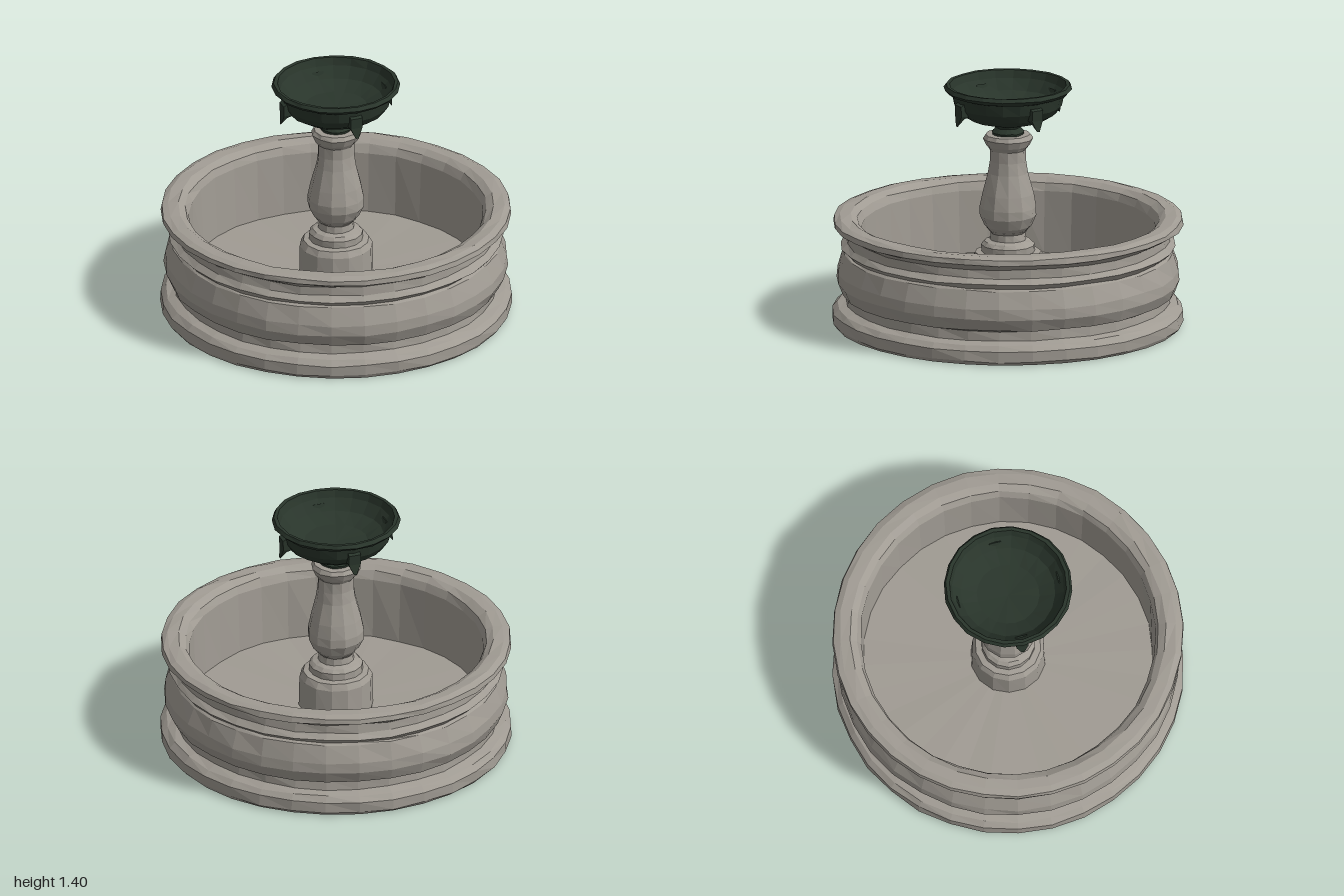
import * as THREE from 'three';

const stone = new THREE.MeshStandardMaterial({ color: 0xa09b93, flatShading: true });
stone.name = 'weathered stone';
const bronze = new THREE.MeshStandardMaterial({ color: 0x29352b, flatShading: true });
bronze.name = 'dark green bronze';

// Turned part from [radius, height] pairs, listed from the bottom up the outside.
// A little seeded wobble gives it a hand-hewn, low-poly surface.
function turned(name, profile, sides, material, wobble) {
  const n = profile.length;
  const geo = new THREE.LatheGeometry(profile.map(([r, y]) => new THREE.Vector2(r, y)), sides);
  const pos = geo.attributes.position;
  const noise = (a, b) => {
    const s = Math.sin(a * 127.1 + b * 311.7) * 43758.5453;
    return (s - Math.floor(s)) * 2 - 1;
  };
  for (let k = 0; k < pos.count; k++) {
    const j = k % n, i = Math.floor(k / n) % sides;
    const r = profile[j][0];
    if (r === 0) continue;
    const f = 1 - wobble * Math.abs(noise(i, j)) / r;
    const dy = profile[j][1] > 0.005 ? wobble * 0.5 * noise(i + 50, j) : 0;
    pos.setXYZ(k, pos.getX(k) * f, pos.getY(k) + dy, pos.getZ(k) * f);
  }
  geo.computeVertexNormals();
  const mesh = new THREE.Mesh(geo, material);
  mesh.name = name;
  return mesh;
}

export function createModel() {
  const fountain = new THREE.Group();
  fountain.name = 'fountain';

  // Moulded basin: plinth, belly, rim, inner wall and floor
  fountain.add(turned('basin', [
    [0, 0], [0.985, 0], [1, 0.02], [1, 0.08], [0.97, 0.11], [0.92, 0.125],
    [0.915, 0.18], [0.95, 0.19], [0.98, 0.26], [0.975, 0.32], [0.94, 0.42],
    [0.925, 0.43], [0.955, 0.46], [0.925, 0.49], [0.92, 0.54], [0.96, 0.565],
    [1, 0.585], [0.995, 0.615], [0.96, 0.628], [0.9, 0.628], [0.86, 0.605],
    [0.84, 0.56], [0.825, 0.2], [0, 0.2],
  ], 32, stone, 0.008));

  // Stepped foot standing on the basin floor
  fountain.add(turned('pedestalFoot', [
    [0.215, 0.19], [0.21, 0.38], [0.19, 0.415], [0.155, 0.42], [0.155, 0.46],
    [0.135, 0.48], [0.105, 0.49], [0.1, 0.53], [0.115, 0.545], [0, 0.545],
  ], 14, stone, 0.004));

  // Baluster column
  fountain.add(turned('column', [
    [0.1, 0.53], [0.135, 0.57], [0.163, 0.63], [0.163, 0.68], [0.148, 0.76],
    [0.116, 0.88], [0.106, 0.95], [0.106, 1.015], [0.125, 1.04], [0.143, 1.08],
    [0.13, 1.105], [0, 1.11],
  ], 12, stone, 0.004));

  // Upper bowl with its stem and hollow inside
  fountain.add(turned('upperBowl', [
    [0.09, 1.1], [0.095, 1.12], [0.07, 1.145], [0.08, 1.165], [0.13, 1.172],
    [0.22, 1.198], [0.28, 1.235], [0.31, 1.28], [0.322, 1.345], [0.345, 1.352],
    [0.368, 1.375], [0.355, 1.395], [0.335, 1.393], [0.32, 1.35], [0.27, 1.29],
    [0.18, 1.25], [0, 1.235],
  ], 20, bronze, 0.004));

  // Four small drooping spouts around the bowl
  const lip = new THREE.Shape([
    [0.26, 1.25], [0.305, 1.235], [0.338, 1.19], [0.328, 1.25], [0.33, 1.31], [0.29, 1.33],
  ].map(([x, y]) => new THREE.Vector2(x, y)));
  const spoutGeo = new THREE.ExtrudeGeometry(lip, { depth: 0.07, bevelEnabled: false });
  spoutGeo.translate(0, 0, -0.035);
  // Narrow each spout towards its tip
  const p = spoutGeo.attributes.position;
  for (let k = 0; k < p.count; k++) {
    p.setZ(k, p.getZ(k) * THREE.MathUtils.clamp((p.getY(k) - 1.17) / 0.08, 0.2, 1));
  }
  spoutGeo.computeVertexNormals();
  for (let i = 0; i < 4; i++) {
    const spout = new THREE.Mesh(spoutGeo, bronze);
    spout.name = 'spout' + (i + 1);
    spout.rotation.y = i * Math.PI / 2;
    fountain.add(spout);
  }

  return fountain;
}
